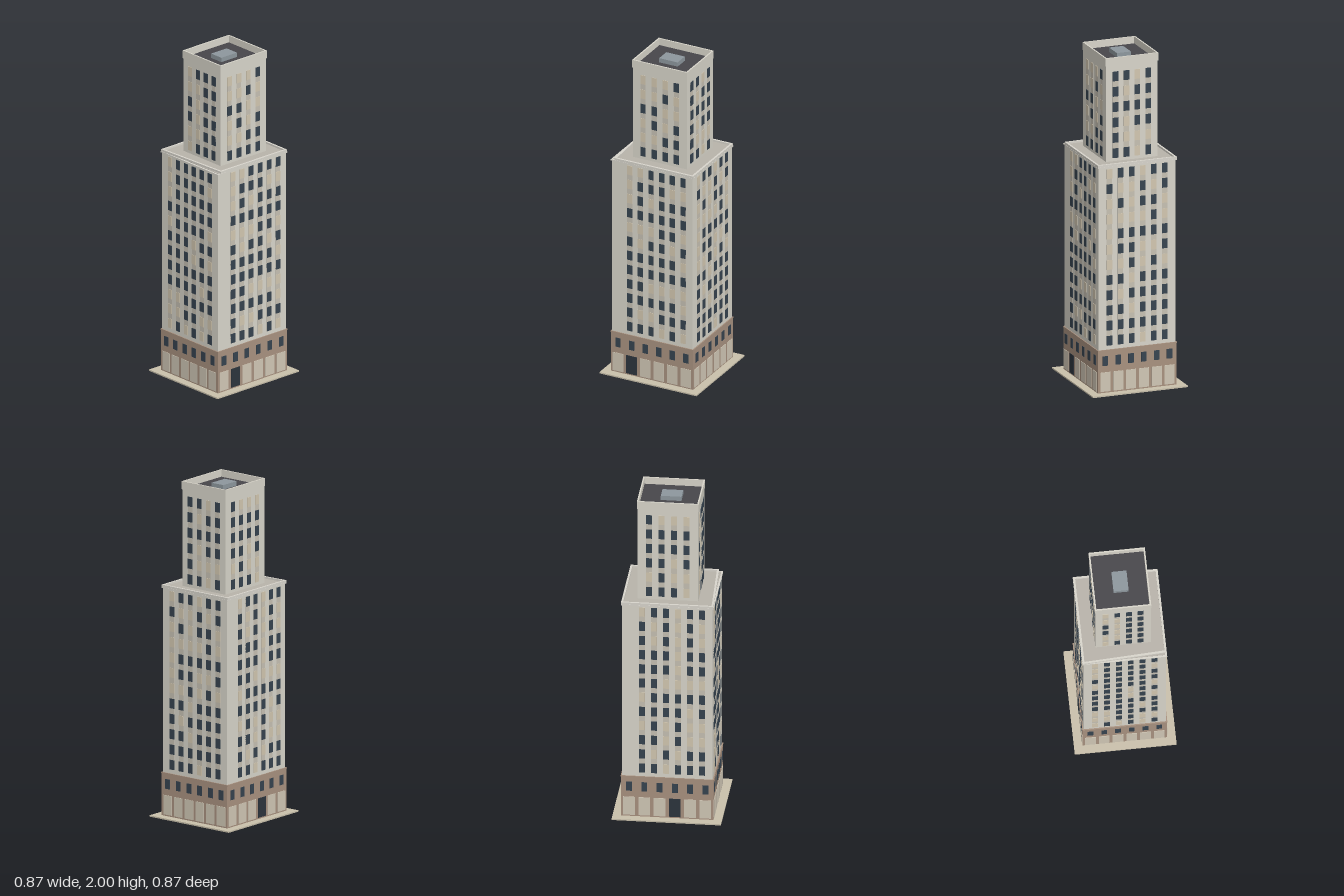
import * as THREE from 'three';
import { mergeGeometries } from 'three/addons/utils/BufferGeometryUtils.js';

const C = {
  paving: 0xc9c0ab, podium: 0xa8917f, wall: 0xd8d5ca, spandrel: 0xc6c0b3, trim: 0xd8d5cc,
  glass: 0x36434f, lit: 0xd2c7b0, shop: 0xd0c7b5, door: 0x2c343d, terrace: 0xb8b3aa,
  roof: 0x47464b, unit: 0x8d979d,
};

export function createModel() {
  const tower = new THREE.Group();
  tower.name = 'officeTower';
  tower.rotation.y = 0.778;

  const mats = {};
  const mat = (key) => (mats[key] ??= new THREE.MeshStandardMaterial({ color: C[key] }));
  const add = (name, geo, key) => {
    const mesh = new THREE.Mesh(geo, mat(key));
    mesh.name = name;
    tower.add(mesh);
  };
  // box standing between two heights
  const block = (name, key, w, d, y0, y1, x = 0, z = 0) =>
    add(name, new THREE.BoxGeometry(w, y1 - y0, d).translate(x, (y0 + y1) / 2, z), key);
  // upright ring between an outer and an inner outline, corners as [x, z]
  const ring = (name, key, outer, inner, y0, y1) => {
    const flat = (pts) => pts.map(([x, z]) => new THREE.Vector2(x, -z));
    const shape = new THREE.Shape(flat(outer));
    shape.holes.push(new THREE.Path(flat(inner)));
    const geo = new THREE.ExtrudeGeometry(shape, { depth: y1 - y0, bevelEnabled: false });
    add(name, geo.rotateX(-Math.PI / 2).translate(0, y0, 0), key);
  };
  const rect = (w, d, x = 0) =>
    [[x - w / 2, d / 2], [x + w / 2, d / 2], [x + w / 2, -d / 2], [x - w / 2, -d / 2]];

  // seeded choice of which windows have drawn blinds
  let seed = 7;
  const rand = () => {
    seed = (seed * 16807) % 2147483647;
    return seed / 2147483647;
  };

  // thin panel on face k (0 front, 1 left, 2 back, 3 right), u runs to the right
  const panel = (k, u, y, w, h, w0, d0, out = 0.002, cx = 0) => {
    const dist = (k % 2 ? w0 : d0) / 2;
    return new THREE.BoxGeometry(w, h, 0.006)
      .translate(u, y, dist + out - 0.003)
      .rotateY((k * Math.PI) / 2)
      .translate(cx, 0, 0);
  };

  // window grid on all four faces of a storey block
  const windows = (name, o) => {
    const glass = [], lit = [], strips = [];
    for (let k = 0; k < 4; k++) {
      for (let c = 0; c < o.cols; c++) {
        const u = (c - (o.cols - 1) / 2) * o.pitch[k % 2] + (k % 2 ? 0 : o.shift);
        if (o.strip) {
          const mid = o.y + ((o.rows - 1) * o.step) / 2;
          strips.push(panel(k, u, mid, 0.034, (o.rows - 1) * o.step + 0.058, o.w, o.d, 0.001, o.cx));
        }
        for (let r = 0; r < o.rows; r++) {
          const g = panel(k, u, o.y + r * o.step, 0.034, 0.058, o.w, o.d, 0.003, o.cx);
          (rand() < o.blinds ? lit : glass).push(g);
        }
      }
    }
    add(name + 'Windows', mergeGeometries(glass), 'glass');
    if (lit.length) add(name + 'BlindWindows', mergeGeometries(lit), 'lit');
    if (strips.length) add(name + 'Spandrels', mergeGeometries(strips), 'spandrel');
  };

  // pavement and podium
  block('pavement', 'paving', 0.637, 0.593, 0, 0.008);
  const PW = 0.542, PD = 0.495;
  block('podium', 'podium', PW - 0.004, PD - 0.004, 0.008, 0.258);
  block('podiumLedge', 'podium', PW, PD, 0.258, 0.266);
  windows('podium', {
    w: PW - 0.004, d: PD - 0.004, cols: 6, rows: 1, pitch: [0.089, 0.08], shift: 0,
    y: 0.2, step: 0, blinds: 0, cx: 0,
  });

  // shopfronts, with one door on the front and one on the back
  const shops = [], doors = [];
  for (let k = 0; k < 4; k++) {
    for (let c = 0; c < 6; c++) {
      const isDoor = (k === 0 && c === 1) || (k === 2 && c === 3);
      const u = (c - 2.5) * (k % 2 ? 0.08 : 0.089);
      const w = k % 2 ? 0.062 : 0.068;
      (isDoor ? doors : shops).push(panel(k, u, 0.074, w, 0.116, PW - 0.004, PD - 0.004, 0.003));
    }
  }
  add('shopfronts', mergeGeometries(shops), 'shop');
  add('doors', mergeGeometries(doors), 'door');

  // main shaft
  const MW = 0.528, MD = 0.482;
  block('mainShaft', 'wall', MW, MD, 0.266, 1.365);
  windows('mainShaft', {
    w: MW, d: MD, cols: 6, rows: 12, pitch: [0.07, 0.069], shift: 0.027,
    y: 0.319, step: 0.0916, blinds: 0.35, strip: true, cx: 0,
  });
  block('mainCornice', 'trim', 0.54, 0.494, 1.365, 1.372);
  block('terrace', 'terrace', 0.518, 0.472, 1.37, 1.374);
  // parapet, set back towards one front corner
  const outer = rect(0.538, 0.492), inner = rect(0.514, 0.468);
  outer[0][0] += 0.022;
  inner[0][0] += 0.022;
  ring('terraceParapet', 'trim', outer, inner, 1.372, 1.385);

  // upper shaft
  const UW = 0.354, UD = 0.322, UX = 0.006;
  block('upperShaft', 'wall', UW, UD, 1.37, 1.955, UX);
  windows('upperShaft', {
    w: UW, d: UD, cols: 4, rows: 6, pitch: [0.073, 0.068], shift: 0,
    y: 1.422, step: 0.0928, blinds: 0.35, strip: true, cx: UX,
  });
  ring('roofParapet', 'wall', rect(0.36, 0.328, UX), rect(0.342, 0.31, UX), 1.952, 2);
  block('roof', 'roof', 0.344, 0.312, 1.95, 1.958, UX);
  block('roofUnit', 'unit', 0.121, 0.088, 1.958, 1.985);

  const model = new THREE.Group();
  model.name = 'building';
  model.add(tower);
  return model;
}
